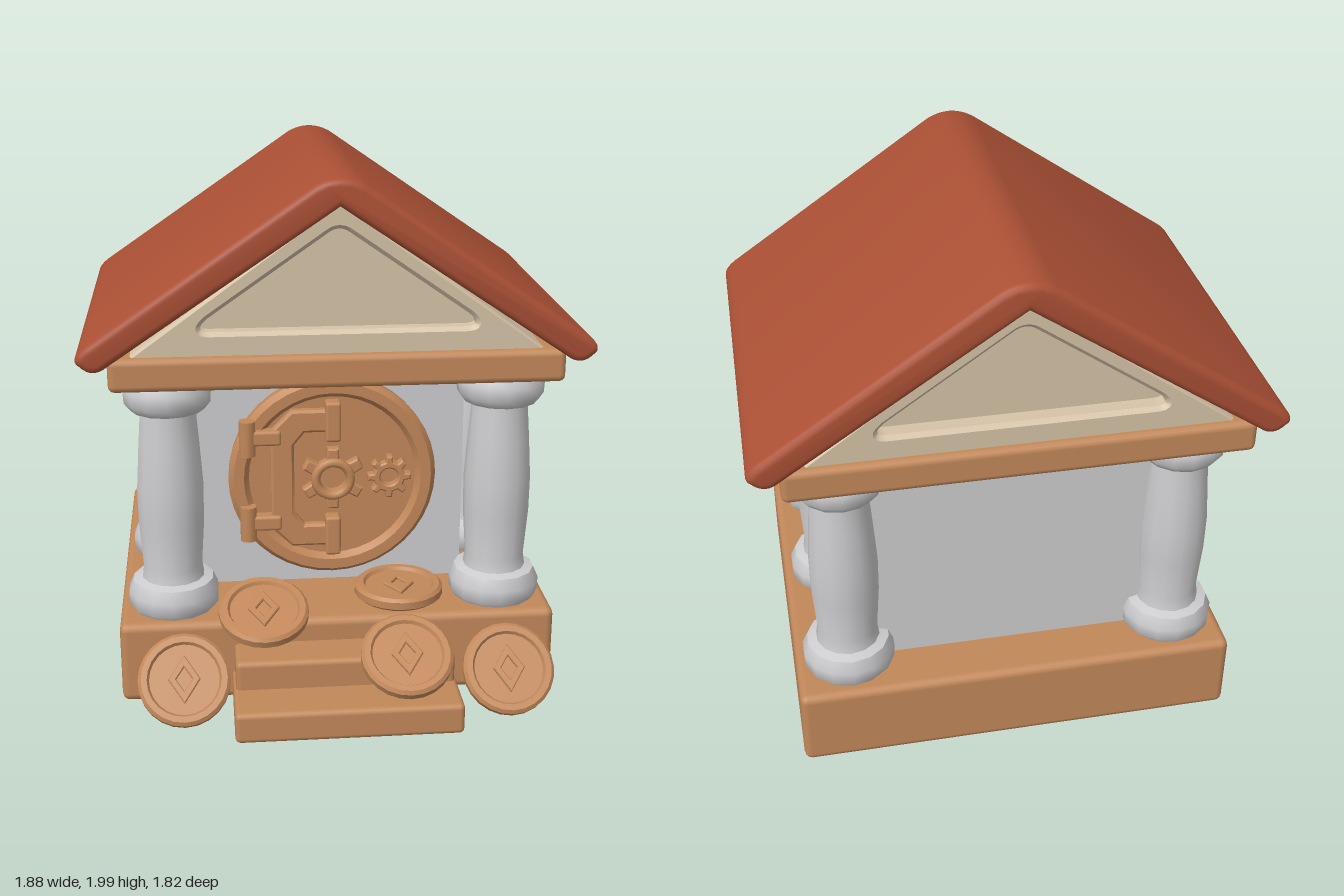
import * as THREE from 'three';
import { toCreasedNormals } from 'three/addons/utils/BufferGeometryUtils.js';
import { RoundedBoxGeometry } from 'three/addons/geometries/RoundedBoxGeometry.js';

const material = (name, color) => Object.assign(new THREE.MeshStandardMaterial({ color }), { name });

export function createModel() {
  const bronze = material('bronze', 0xc2885a);
  const terracotta = material('terracotta', 0xab5035);
  const stone = material('stone', 0xcdcdcf);
  const cream = material('cream', 0xd6c3a8);
  const model = new THREE.Group();
  model.name = 'bank';

  const add = (parent, name, geometry, mat, x = 0, y = 0, z = 0) => {
    const mesh = new THREE.Mesh(geometry, mat);
    mesh.name = name;
    mesh.position.set(x, y, z);
    parent.add(mesh);
    return mesh;
  };
  // Rounded block given by its lower and upper corners
  const block = (parent, name, mat, [x0, y0, z0], [x1, y1, z1], radius = 0.02) =>
    add(parent, name, new RoundedBoxGeometry(x1 - x0, y1 - y0, z1 - z0, 2, radius), mat,
      (x0 + x1) / 2, (y0 + y1) / 2, (z0 + z1) / 2);
  const lathe = (points, sides, crease = 0.6) => toCreasedNormals(
    new THREE.LatheGeometry(points.map(p => new THREE.Vector2(...p)), sides), crease);
  const polygon = points => new THREE.Shape(points.map(p => new THREE.Vector2(...p)));
  // Extrusion from z0 to z1 whose bevel stays inside the outline
  const extrude = (shape, z0, z1, bevel, segments = 1, crease = 0.5) => {
    const geometry = new THREE.ExtrudeGeometry(shape, {
      depth: z1 - z0 - 2 * bevel, bevelEnabled: bevel > 0, bevelSize: bevel, bevelOffset: -bevel,
      bevelThickness: bevel, bevelSegments: segments, curveSegments: 8,
    });
    geometry.translate(0, 0, z0 + bevel);
    return toCreasedNormals(geometry, crease);
  };

  // Plinth, steps, walls and ceiling beam
  block(model, 'base', bronze, [-0.83, 0.01, -0.88], [0.83, 0.33, 0.57], 0.03);
  block(model, 'upperStep', bronze, [-0.4, 0.01, 0.5], [0.42, 0.24, 0.73]);
  block(model, 'lowerStep', bronze, [-0.41, 0.01, 0.5], [0.43, 0.13, 0.91]);
  add(model, 'walls', new THREE.BoxGeometry(1.04, 0.94, 0.89), stone, 0, 0.79, -0.235);
  block(model, 'beam', bronze, [-0.83, 1.24, -0.89], [0.83, 1.365, 0.56], 0.025);

  // Columns, three on each side
  const column = lathe([
    [0, 0.32], [0.15, 0.32], [0.173, 0.35], [0.175, 0.4], [0.155, 0.445], [0.12, 0.455],
    [0.113, 0.5], [0.126, 0.68], [0.127, 0.82], [0.116, 0.98], [0.105, 1.12],
    [0.14, 1.13], [0.163, 1.16], [0.166, 1.21], [0.15, 1.24], [0, 1.245],
  ], 14, 0.8);
  for (const side of [-1, 1]) {
    for (const z of [0.38, -0.15, -0.68]) {
      add(model, side > 0 ? 'leftColumn' : 'rightColumn', column, stone, side * 0.625, 0, z);
    }
  }

  // Gable with a recessed triangle at each end
  const triangle = [[-0.77, 1.35], [0.77, 1.35], [0, 1.92]];
  add(model, 'gableCore', extrude(polygon(triangle), -0.79, 0.47, 0), cream);
  const frame = polygon(triangle);
  const recess = new THREE.Path();
  recess.moveTo(-0.46, 1.45);
  recess.lineTo(0.46, 1.45);
  recess.quadraticCurveTo(0.53, 1.45, 0.47, 1.5);
  recess.lineTo(0.04, 1.8);
  recess.quadraticCurveTo(0, 1.83, -0.04, 1.8);
  recess.lineTo(-0.47, 1.5);
  recess.quadraticCurveTo(-0.53, 1.45, -0.46, 1.45);
  frame.holes.push(recess);
  add(model, 'frontGableFrame', extrude(frame, 0.45, 0.53, 0.015), cream);
  add(model, 'backGableFrame', extrude(frame, -0.86, -0.78, 0.015), cream);

  // Roof with a rounded ridge
  const roof = new THREE.Shape();
  roof.moveTo(0.09, 1.975);
  roof.quadraticCurveTo(0, 2.025, -0.09, 1.975);
  roof.lineTo(-0.9, 1.42);
  roof.quadraticCurveTo(-0.965, 1.37, -0.925, 1.345);
  roof.quadraticCurveTo(-0.88, 1.3, -0.83, 1.34);
  roof.lineTo(0, 1.9);
  roof.lineTo(0.83, 1.34);
  roof.quadraticCurveTo(0.88, 1.3, 0.925, 1.345);
  roof.quadraticCurveTo(0.965, 1.37, 0.9, 1.42);
  add(model, 'roof', extrude(roof, -0.91, 0.58, 0.025, 3, 0.7), terracotta);

  // Vault door, built around its own centre
  const door = new THREE.Group();
  door.name = 'vaultDoor';
  door.position.set(0, 0.79, 0.2);
  model.add(door);
  const disc = lathe([
    [0, 0], [0.4, 0], [0.405, 0.06], [0.385, 0.085], [0.345, 0.085], [0.325, 0.06], [0, 0.06],
  ], 40).rotateX(Math.PI / 2);
  add(door, 'doorDisc', disc, bronze);

  const bracket = polygon([
    [0.0, 0.28], [-0.16, 0.28], [-0.24, 0.2], [-0.24, -0.2], [-0.16, -0.28], [0, -0.28],
    [0, -0.19], [-0.11, -0.19], [-0.15, -0.14], [-0.15, 0.14], [-0.11, 0.19], [0, 0.19],
  ]);
  add(door, 'bracket', extrude(bracket, 0.05, 0.095, 0.01), bronze);
  for (const side of [-1, 1]) {
    block(door, 'bolt', bronze, [-0.03, side * 0.235 - 0.08, 0.05], [0.03, side * 0.235 + 0.08, 0.115], 0.012);
    block(door, 'hingeArm', bronze, [-0.36, side * 0.175 - 0.03, 0.05], [-0.2, side * 0.175 + 0.03, 0.11], 0.012);
    add(door, 'hingePin', new THREE.CylinderGeometry(0.033, 0.033, 0.14, 10), bronze, -0.33, side * 0.175, 0.09);
  }

  // Toothed wheel with a round hole
  const wheel = (inner, outer, teeth, hole) => {
    const points = [];
    for (let i = 0; i < teeth; i++) {
      for (const [offset, r] of [[-0.3, inner], [-0.17, outer], [0.17, outer], [0.3, inner]]) {
        const a = (i + offset) / teeth * Math.PI * 2 + Math.PI / 2;
        points.push([r * Math.cos(a), r * Math.sin(a)]);
      }
    }
    const shape = polygon(points);
    shape.holes.push(new THREE.Path().absarc(0, 0, hole, 0, Math.PI * 2, true));
    return extrude(shape, 0.05, 0.1, 0.006);
  };
  add(door, 'handWheel', wheel(0.08, 0.125, 6, 0.052), bronze);
  add(door, 'handWheelRim', new THREE.TorusGeometry(0.068, 0.018, 8, 20), bronze, 0, 0, 0.1);
  add(door, 'gear', wheel(0.062, 0.085, 8, 0.035), bronze, 0.22, 0, 0);

  // Coins with a raised rim and a diamond emblem: position, then tilt in degrees
  const coinBody = lathe([
    [0, -0.026], [0.157, -0.026], [0.172, -0.014], [0.172, 0.014], [0.16, 0.026],
    [0.138, 0.026], [0.13, 0.013], [0, 0.013],
  ], 24);
  const diamond = polygon([[0, 0.09], [-0.06, 0], [0, -0.09], [0.06, 0]]);
  diamond.holes.push(new THREE.Path([[0, 0.045], [0.03, 0], [0, -0.045], [-0.03, 0]].map(p => new THREE.Vector2(...p))));
  const emblem = extrude(diamond, 0.008, 0.025, 0.004).rotateX(-Math.PI / 2);
  const coins = [
    [-0.59, 0.175, 0.715, 50], [0.62, 0.175, 0.735, 50], [0.235, 0.25, 0.74, 32],
    [-0.285, 0.345, 0.52, 20], [0.25, 0.358, 0.38, 0],
  ];
  for (const [x, y, z, tilt] of coins) {
    const coin = new THREE.Group();
    coin.name = 'coin';
    coin.position.set(x, y, z);
    coin.rotation.x = THREE.MathUtils.degToRad(tilt);
    add(coin, 'coinBody', coinBody, bronze);
    add(coin, 'coinEmblem', emblem, bronze);
    model.add(coin);
  }
  return model;
}
